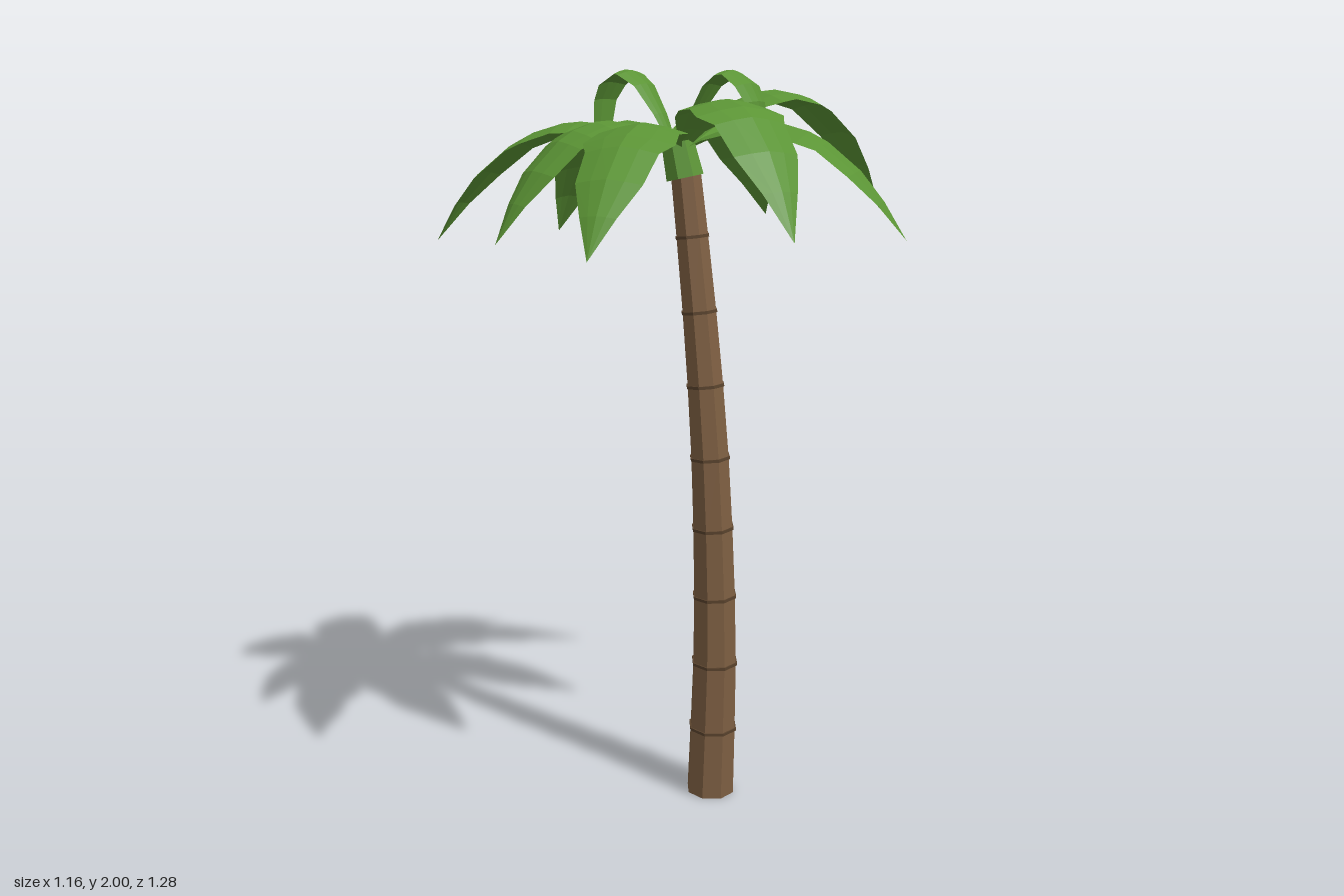
import * as THREE from 'three';

const paint = (color, side = THREE.FrontSide) =>
  new THREE.MeshStandardMaterial({ color, flatShading: true, side });
const V = (x, y, z) => new THREE.Vector3(x, y, z);
const UP = V(0, 1, 0);
const HEART = V(-0.06, 1.79, 0.045); // where all fronds meet

// Eight-sided drum between two points
function drum(name, a, b, rBottom, rTop, material) {
  const mesh = new THREE.Mesh(
    new THREE.CylinderGeometry(rTop, rBottom, a.distanceTo(b), 8), material);
  mesh.name = name;
  mesh.position.copy(a).lerp(b, 0.5);
  mesh.quaternion.setFromUnitVectors(UP, b.clone().sub(a).normalize());
  return mesh;
}

// Leaf blade swept along a curve; stations are [position, half width]
function frond(name, curve, heading, stations, material) {
  const side = V(-heading.z, 0, heading.x).normalize();
  const across = [-1, -0.5, 0, 0.5, 1];
  const n = across.length;
  const pos = [], index = [];
  stations.forEach(([t, half], i) => {
    const p = curve.getPoint(t);
    const normal = side.clone().cross(curve.getTangent(t));
    across.forEach((s, j) => {
      const droop = -0.22 * half * Math.pow(Math.abs(s), 1.4);
      const q = p.clone().addScaledVector(side, s * half).addScaledVector(normal, droop);
      pos.push(q.x, q.y, q.z);
      if (i && j) {
        const d = i * n + j, c = d - 1, b = d - n, a = b - 1;
        index.push(a, b, c, b, d, c);
      }
    });
  });
  const geo = new THREE.BufferGeometry();
  geo.setAttribute('position', new THREE.Float32BufferAttribute(pos, 3));
  geo.setIndex(index);
  geo.computeVertexNormals();
  const mesh = new THREE.Mesh(geo, material);
  mesh.name = name;
  return mesh;
}

export function createModel() {
  const tree = new THREE.Group();
  tree.name = 'palmTree';
  const bark = paint(0x7f6043);
  const barkRing = paint(0x5a432d);
  const green = paint(0x5b9435, THREE.DoubleSide);

  // Curved trunk: tapering segments with a thin ring at each joint
  const trunk = new THREE.Group();
  trunk.name = 'trunk';
  const spine = new THREE.CatmullRomCurve3([
    V(0.035, 0.005, 0.053), V(0.034, 0.4, 0.08), V(0.028, 0.6, 0.09),
    V(0.007, 1, 0.101), V(-0.018, 1.4, 0.084), V(-0.045, 1.77, 0.055)]);
  const radius = (t) => 0.068 - 0.027 * t;
  const count = 9;
  for (let i = 0; i < count; i++) {
    const t0 = i / count, t1 = (i + 1) / count;
    const a = spine.getPointAt(t0), b = spine.getPointAt(t1);
    trunk.add(drum('trunkSegment', a, b, radius(t0), radius(t1), bark));
    if (i) {
      const half = spine.getTangentAt(t0).multiplyScalar(0.004);
      const r = radius(t0) * 1.06;
      trunk.add(drum('trunkRing', a.clone().sub(half), a.clone().add(half), r, r, barkRing));
    }
  }
  tree.add(trunk);

  // Green bud holding the fronds
  tree.add(drum('crownBud', V(-0.045, 1.725, 0.058), V(-0.06, 1.815, 0.045), 0.052, 0.045, green));

  // Large arching fronds: tip x, y, z and control height of the arch
  const blade = [[0, 0.012], [0.1, 0.04], [0.22, 0.088], [0.34, 0.115], [0.41, 0.105],
    [0.53, 0.12], [0.61, 0.095], [0.76, 0.086], [0.88, 0.047], [1, 0]];
  const tips = [
    [-0.13, 1.53, -0.64, 2.02], [-0.565, 1.54, -0.43, 2.02],
    [-0.58, 1.58, 0.105, 2.03], [-0.48, 1.57, 0.455, 2.03],
    [-0.04, 1.61, 0.637, 2.14], [0.385, 1.58, 0.447, 2.02],
    [0.58, 1.62, 0, 2.17], [0.39, 1.585, -0.315, 2.03]];
  for (const [x, y, z, h] of tips) {
    const tip = V(x, y, z);
    const control = HEART.clone().lerp(tip, 0.6).setY(h);
    const curve = new THREE.QuadraticBezierCurve3(HEART, control, tip);
    tree.add(frond('frond', curve, tip.clone().sub(HEART), blade, green));
  }

  // Two young fronds that rise and curl over
  const youngBlade = [[0, 0.012], [0.14, 0.03], [0.28, 0.045], [0.4, 0.058], [0.46, 0.05],
    [0.6, 0.058], [0.7, 0.048], [0.85, 0.04], [1, 0]];
  const curl = [[0, 1.79], [0.05, 1.89], [0.1, 1.965], [0.155, 1.998], [0.21, 1.975],
    [0.245, 1.915], [0.25, 1.85], [0.235, 1.79]];
  for (const heading of [V(-0.12, 0, -0.21), V(0.12, 0, 0.2)]) {
    heading.normalize();
    const curve = new THREE.CatmullRomCurve3(
      curl.map(([r, y]) => HEART.clone().addScaledVector(heading, r).setY(y)));
    tree.add(frond('youngFrond', curve, heading, youngBlade, green));
  }
  return tree;
}
